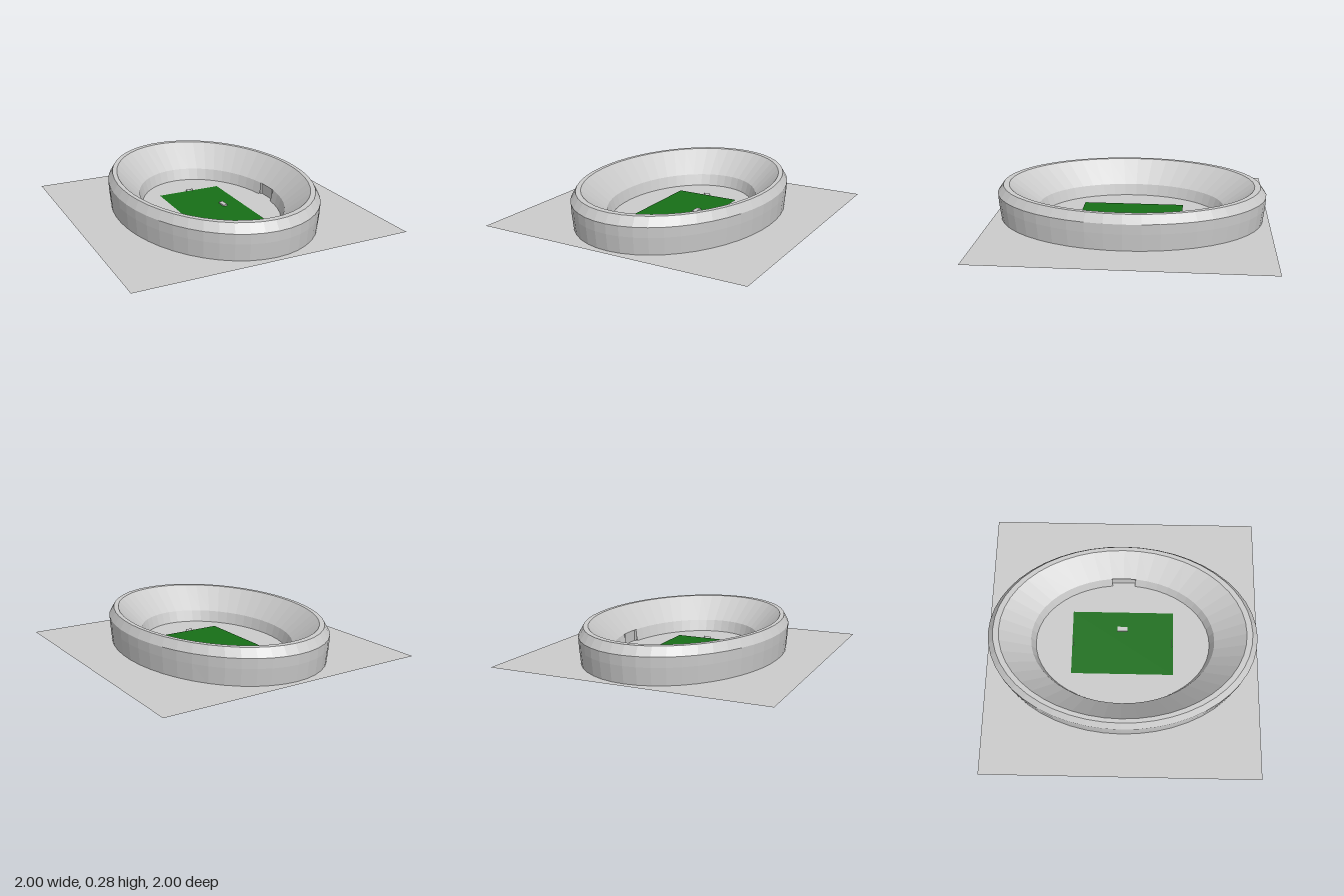
import * as THREE from 'three';

const GROUND = 0.036;   // height of the ground sheet
const SEGMENTS = 48;

const grey = new THREE.MeshStandardMaterial({ color: 0xcccccc, flatShading: true, side: THREE.DoubleSide });
const green = new THREE.MeshStandardMaterial({ color: 0x176f17, side: THREE.DoubleSide });

// Oval shell through rows of [x radius, z radius, y]; skip(i) leaves a segment open
function ovalShell(name, rows, skip = () => false) {
  const positions = [];
  const point = ([rx, rz, y], i) => {
    const a = (i / SEGMENTS) * Math.PI * 2;
    return [rx * Math.cos(a), y, rz * Math.sin(a)];
  };
  for (let r = 0; r < rows.length - 1; r++) {
    for (let i = 0; i < SEGMENTS; i++) {
      if (skip(i)) continue;
      const a = point(rows[r], i), b = point(rows[r], i + 1);
      const c = point(rows[r + 1], i + 1), d = point(rows[r + 1], i);
      positions.push(...a, ...d, ...c, ...a, ...c, ...b);
    }
  }
  const geometry = new THREE.BufferGeometry();
  geometry.setAttribute('position', new THREE.Float32BufferAttribute(positions, 3));
  geometry.computeVertexNormals();
  const mesh = new THREE.Mesh(geometry, grey);
  mesh.name = name;
  return mesh;
}

function box(name, w, h, d, x, y, z) {
  const mesh = new THREE.Mesh(new THREE.BoxGeometry(w, h, d), grey);
  mesh.position.set(x, y, z);
  mesh.name = name;
  return mesh;
}

function sheet(name, w, d, y, material) {
  const mesh = new THREE.Mesh(new THREE.PlaneGeometry(w, d).rotateX(-Math.PI / 2), material);
  mesh.position.y = y;
  mesh.name = name;
  return mesh;
}

// Two thin posts and a crossbar
function goal(z) {
  const group = new THREE.Group();
  group.name = 'goal';
  const t = 0.003, width = 0.05, height = 0.02;
  for (const side of [-1, 1]) {
    group.add(box('goalPost', t, height, t, side * width / 2, height / 2, 0));
  }
  group.add(box('crossbar', width + t, t, t, 0, height, 0));
  group.position.set(0, GROUND, z);
  return group;
}

export function createModel() {
  const model = new THREE.Group();
  model.name = 'stadium';

  // Ground and playing field
  model.add(sheet('ground', 2, 2, GROUND, grey));
  model.add(sheet('pitch', 0.486, 0.75, GROUND + 0.004, green));

  // Underside, outer wall, bevelled shoulder and flat rim
  model.add(ovalShell('outerShell', [
    [0.467, 0.645, GROUND],
    [0.53, 0.73, 0],
    [0.69, 0.955, 0.022],
    [0.701, 0.971, 0.155],
    [0.704, 0.975, 0.225],
    [0.672, 0.932, 0.285],
    [0.642, 0.89, 0.285],
  ]));

  // Sloping stands
  model.add(ovalShell('stands', [
    [0.642, 0.89, 0.285],
    [0.487, 0.674, 0.12],
  ]));

  // Low wall around the field, open at the tunnel on the +x side
  model.add(ovalShell('fieldWall', [
    [0.487, 0.674, 0.12],
    [0.467, 0.645, GROUND],
  ], (i) => i === 0 || i === SEGMENTS - 1));

  // Tunnel recess
  const wallHeight = 0.12 - GROUND;
  const wallY = GROUND + wallHeight / 2;
  model.add(box('tunnelBack', 0.01, wallHeight, 0.176, 0.495, wallY, 0));
  for (const side of [-1, 1]) {
    model.add(box('tunnelSide', 0.016, wallHeight, 0.004, 0.482, wallY, side * 0.088));
  }

  // Goals and the small block beside the centre
  model.add(goal(0.365), goal(-0.365));
  model.add(box('fieldBlock', 0.033, 0.012, 0.075, 0.108, GROUND + 0.008, -0.002));

  return model;
}
